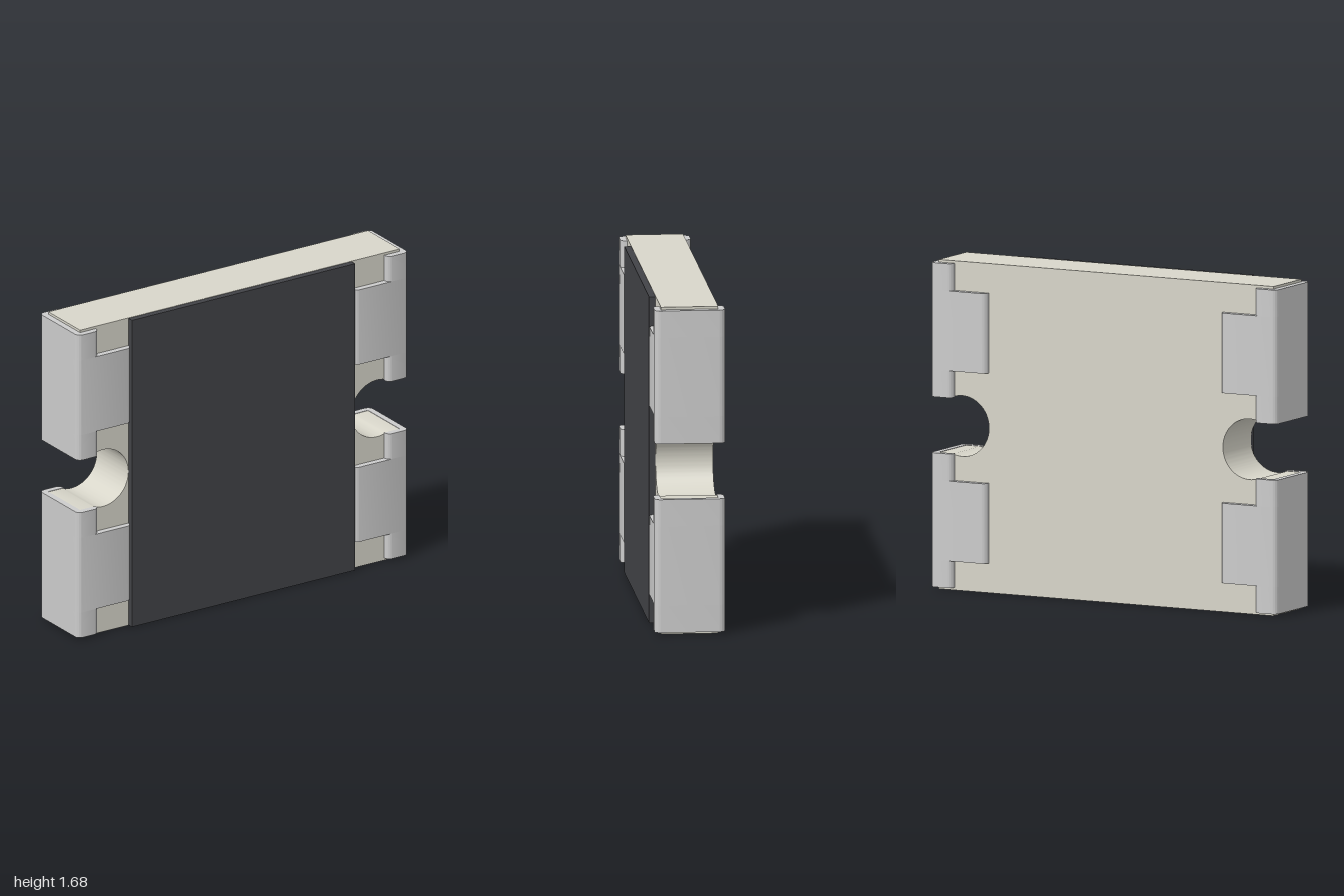
import * as THREE from 'three';
import { toCreasedNormals } from 'three/addons/utils/BufferGeometryUtils.js';

const H = 1.68, MID = H / 2;          // body height and middle
const BX = 0.967, BZ = 0.145;         // body half width and half depth
const TX = 1.0, TZ = 0.178, R = 0.03; // terminal outer extents and edge radius
const NOTCH_X = 0.83, NOTCH_R = 0.155, NOTCH_H = 0.145;

const extrude = (shape, depth, curveSegments) =>
  toCreasedNormals(new THREE.ExtrudeGeometry(shape, { depth, bevelEnabled: false, curveSegments }), 0.6);

// Plate outline with a round-bottomed notch in each side
function bodyGeometry() {
  const a = Math.asin(NOTCH_H / NOTCH_R);
  const s = new THREE.Shape();
  s.moveTo(-BX, 0);
  s.lineTo(BX, 0);
  s.lineTo(BX, MID - NOTCH_H);
  s.absarc(NOTCH_X, MID, NOTCH_R, -a, a - 2 * Math.PI, true);
  s.lineTo(BX, MID + NOTCH_H);
  s.lineTo(BX, H);
  s.lineTo(-BX, H);
  s.lineTo(-BX, MID + NOTCH_H);
  s.absarc(-NOTCH_X, MID, NOTCH_R, Math.PI - a, a - Math.PI, true);
  s.lineTo(-BX, MID - NOTCH_H);
  s.closePath();
  return extrude(s, 2 * BZ, 40).translate(0, 0, -BZ);
}

// C-shaped clip around the side edge, arms reaching in to x = inner, from y0 to y1
function clipGeometry(inner, y0, y1) {
  const s = new THREE.Shape();
  s.moveTo(BX, -BZ);
  s.lineTo(inner, -BZ);
  s.absarc(inner + R, -TZ + R, R, Math.PI, 1.5 * Math.PI, false);
  s.absarc(TX - R, -TZ + R, R, -Math.PI / 2, 0, false);
  s.absarc(TX - R, TZ - R, R, 0, Math.PI / 2, false);
  s.absarc(inner + R, TZ - R, R, Math.PI / 2, Math.PI, false);
  s.lineTo(inner, BZ);
  s.lineTo(BX, BZ);
  s.closePath();
  return extrude(s, y1 - y0, 8).rotateX(-Math.PI / 2).translate(0, y0, 0);
}

export function createModel() {
  const model = new THREE.Group();
  model.name = 'chipComponent';
  const ceramic = new THREE.MeshStandardMaterial({ color: 0xd8d6ca });
  const metal = new THREE.MeshStandardMaterial({ color: 0xd0d0cc });
  const coating = new THREE.MeshStandardMaterial({ color: 0x424347 });

  const add = (parent, name, geometry, material) => {
    const mesh = new THREE.Mesh(geometry, material);
    mesh.name = name;
    parent.add(mesh);
    return mesh;
  };

  add(model, 'ceramicBody', bodyGeometry(), ceramic);

  // Dark cover layer on the front
  const cover = new THREE.BoxGeometry(1.35, H - 0.004, TZ - BZ);
  add(model, 'frontCoating', cover, coating).position.set(0, MID, (TZ + BZ) / 2);

  // Four terminals: narrow ends with a wide pad between them
  const narrow = 0.873, wide = 0.676;
  for (const side of ['left', 'right']) {
    for (const [level, base] of [['Lower', 0.013], ['Upper', 0.983]]) {
      const terminal = new THREE.Group();
      terminal.name = `${side}${level}Terminal`;
      add(terminal, 'lowerEnd', clipGeometry(narrow, base, base + 0.138), metal);
      add(terminal, 'widePad', clipGeometry(wide, base + 0.138, base + 0.546), metal);
      add(terminal, 'upperEnd', clipGeometry(narrow, base + 0.546, base + 0.684), metal);
      if (side === 'right') terminal.rotation.y = Math.PI;
      model.add(terminal);
    }
  }
  return model;
}
